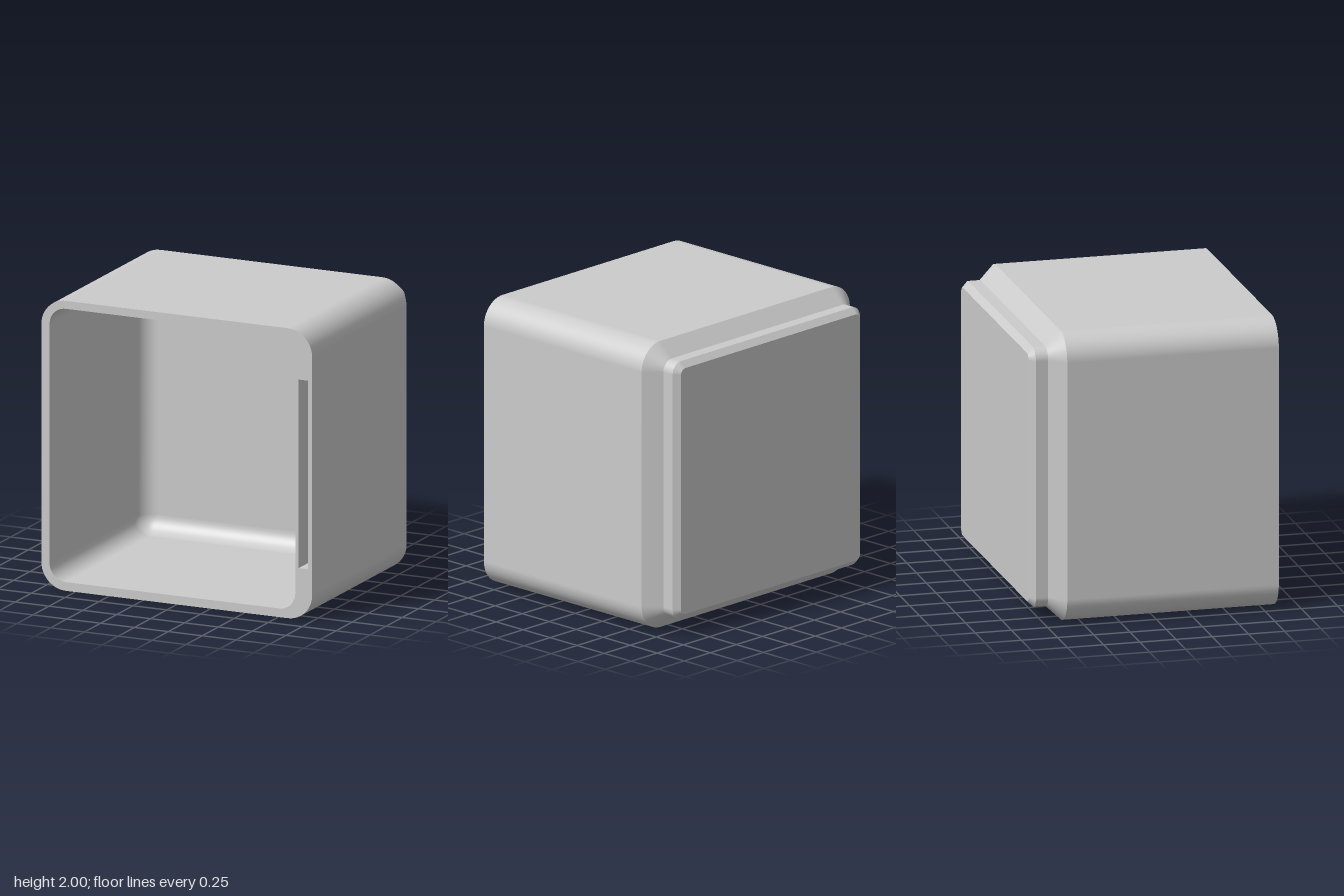
import * as THREE from 'three';

const FRONT = 0.845, ARC = 12;

// Points of a rounded rectangle, counter-clockwise seen from the front
function roundedRect({ x = 0, y = 1, w, h, r }) {
  const points = [];
  const corners = [[1, 1], [-1, 1], [-1, -1], [1, -1]];
  corners.forEach(([sx, sy], k) => {
    for (let i = 0; i <= ARC; i++) {
      const a = (k + i / ARC) * Math.PI / 2;
      points.push(new THREE.Vector2(
        x + sx * (w - r) + r * Math.cos(a),
        y + sy * (h - r) + r * Math.sin(a)));
    }
  });
  return points;
}

// Skin over sections ordered from front to back
function loft(sections, inward = false) {
  const positions = [], index = [], n = 4 * (ARC + 1);
  for (const s of sections) for (const p of roundedRect(s)) positions.push(p.x, p.y, s.z);
  for (let i = 0; i < sections.length - 1; i++) {
    for (let j = 0; j < n; j++) {
      const a = i * n + j, b = i * n + (j + 1) % n, c = a + n, d = b + n;
      if (inward) index.push(a, b, c, b, d, c);
      else index.push(a, c, b, b, c, d);
    }
  }
  const g = new THREE.BufferGeometry();
  g.setAttribute('position', new THREE.Float32BufferAttribute(positions, 3));
  g.setIndex(index);
  g.computeVertexNormals();
  return g;
}

export function createModel() {
  const group = new THREE.Group();
  const material = new THREE.MeshStandardMaterial({ color: 0xcccccc });
  const add = (name, geometry, z = 0) => {
    const mesh = new THREE.Mesh(geometry, material);
    mesh.name = name;
    mesh.position.z = z;
    group.add(mesh);
    return mesh;
  };

  // Outer shell: each band is separate so the edges between them stay sharp
  const section = (half, r, z) => ({ w: half, h: half, r, z });
  const outer = [
    section(1, 0.18, FRONT),
    section(1, 0.18, -0.615),
    section(0.9, 0.08, -0.72),
    section(0.9, 0.08, -0.805),
    section(0.86, 0.04, -FRONT),
  ];
  ['outerWalls', 'backChamfer', 'backNeck', 'backEdgeChamfer'].forEach((name, i) =>
    add(name, loft([outer[i], outer[i + 1]])));
  add('backFace', new THREE.ShapeGeometry(new THREE.Shape(roundedRect(outer[4]))), -FRONT)
    .rotation.y = Math.PI;

  // Cavity, offset to leave a thicker wall on one side, with a filleted floor
  const R = 0.12, floorZ = -0.58;
  const mouth = { x: -0.0325, y: 1.0025, w: 0.9075, h: 0.9425, r: R, z: FRONT };
  const cavity = [mouth];
  for (let i = 0; i <= ARC; i++) {
    const a = i / ARC * Math.PI / 2, inset = R * (1 - Math.cos(a));
    cavity.push({ ...mouth, w: mouth.w - inset, h: mouth.h - inset, r: R - inset,
      z: floorZ + R * (1 - Math.sin(a)) });
  }
  add('cavityWalls', loft(cavity, true));
  const floor = new THREE.PlaneGeometry(2 * (mouth.w - R), 2 * (mouth.h - R));
  add('cavityBack', floor.translate(mouth.x, mouth.y, 0), floorZ);

  // Narrow slot in the thick wall: an inside-out box without its front side
  const slot = { x: 0.935, y: 1.005, w: 0.035, h: 0.65, depth: 1.3 };
  const box = new THREE.BoxGeometry(2 * slot.w, 2 * slot.h, slot.depth);
  const faces = Array.from(box.index.array);
  faces.splice(24, 6);
  box.setIndex(faces.reverse());
  box.clearGroups();
  box.computeVertexNormals();
  add('sideSlot', box.translate(slot.x, slot.y, 0), FRONT - slot.depth / 2);

  // Front rim with the cavity and slot openings
  const rim = new THREE.Shape(roundedRect(outer[0]));
  rim.holes.push(new THREE.Path(roundedRect(mouth)));
  rim.holes.push(new THREE.Path([[-1, -1], [1, -1], [1, 1], [-1, 1]].map(([sx, sy]) =>
    new THREE.Vector2(slot.x + sx * slot.w, slot.y + sy * slot.h))));
  add('frontRim', new THREE.ShapeGeometry(rim), FRONT);

  return group;
}
